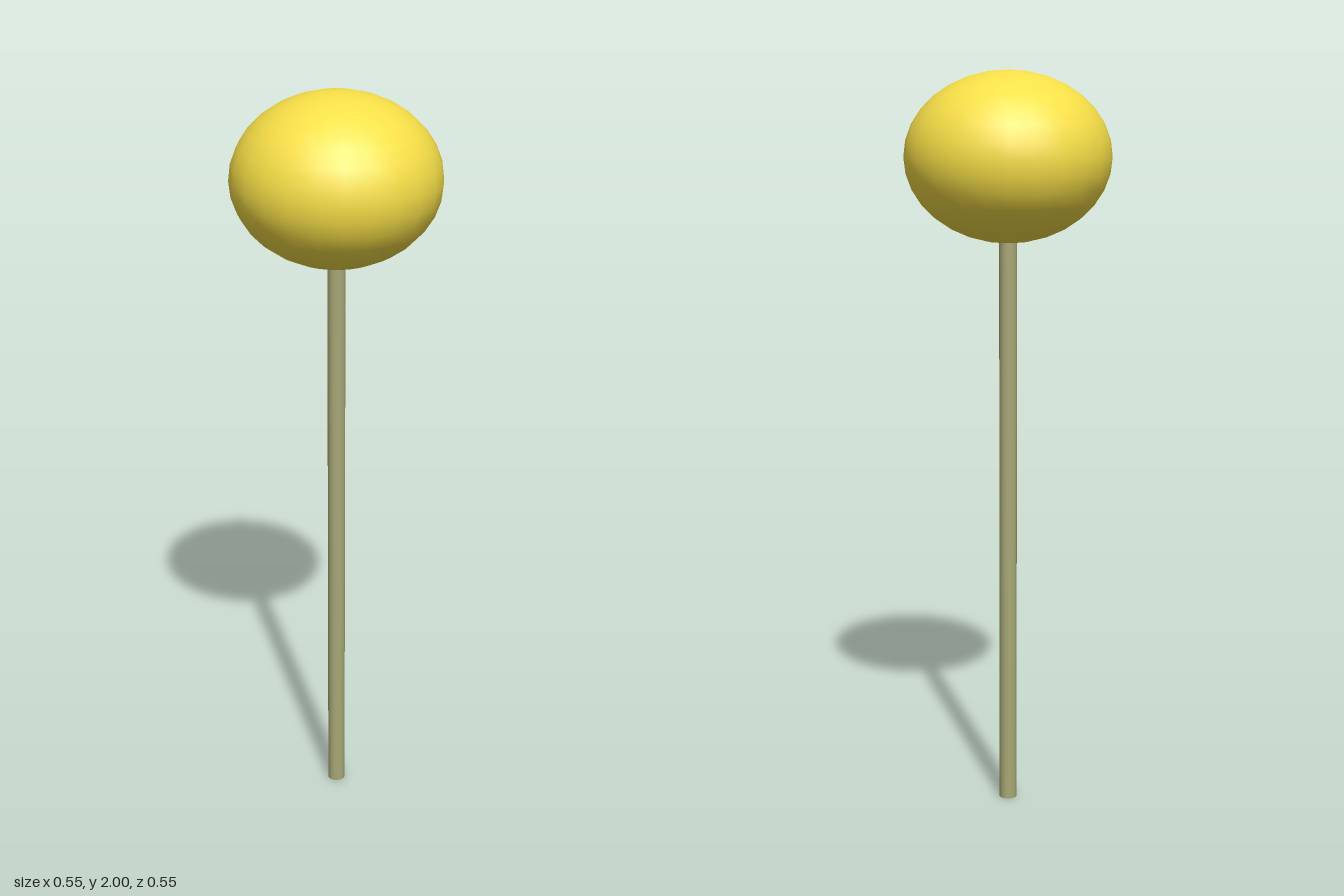
import * as THREE from 'three';

function addPart(group, name, geometry, color, y) {
  const mesh = new THREE.Mesh(geometry, new THREE.MeshStandardMaterial({ color }));
  mesh.name = name;
  mesh.position.y = y;
  group.add(mesh);
}

export function createModel() {
  const model = new THREE.Group();
  model.name = 'ballOnStem';

  // Slender upright stem, its top end sunk into the ball
  const stemTop = 1.58;
  addPart(model, 'stem', new THREE.CylinderGeometry(0.024, 0.024, stemTop, 16), 0xa8a878, stemTop / 2);

  // Slightly flattened ball
  const ball = new THREE.SphereGeometry(1, 24, 16).scale(0.275, 0.225, 0.275);
  addPart(model, 'ball', ball, 0xf8e048, 1.775);

  return model;
}
